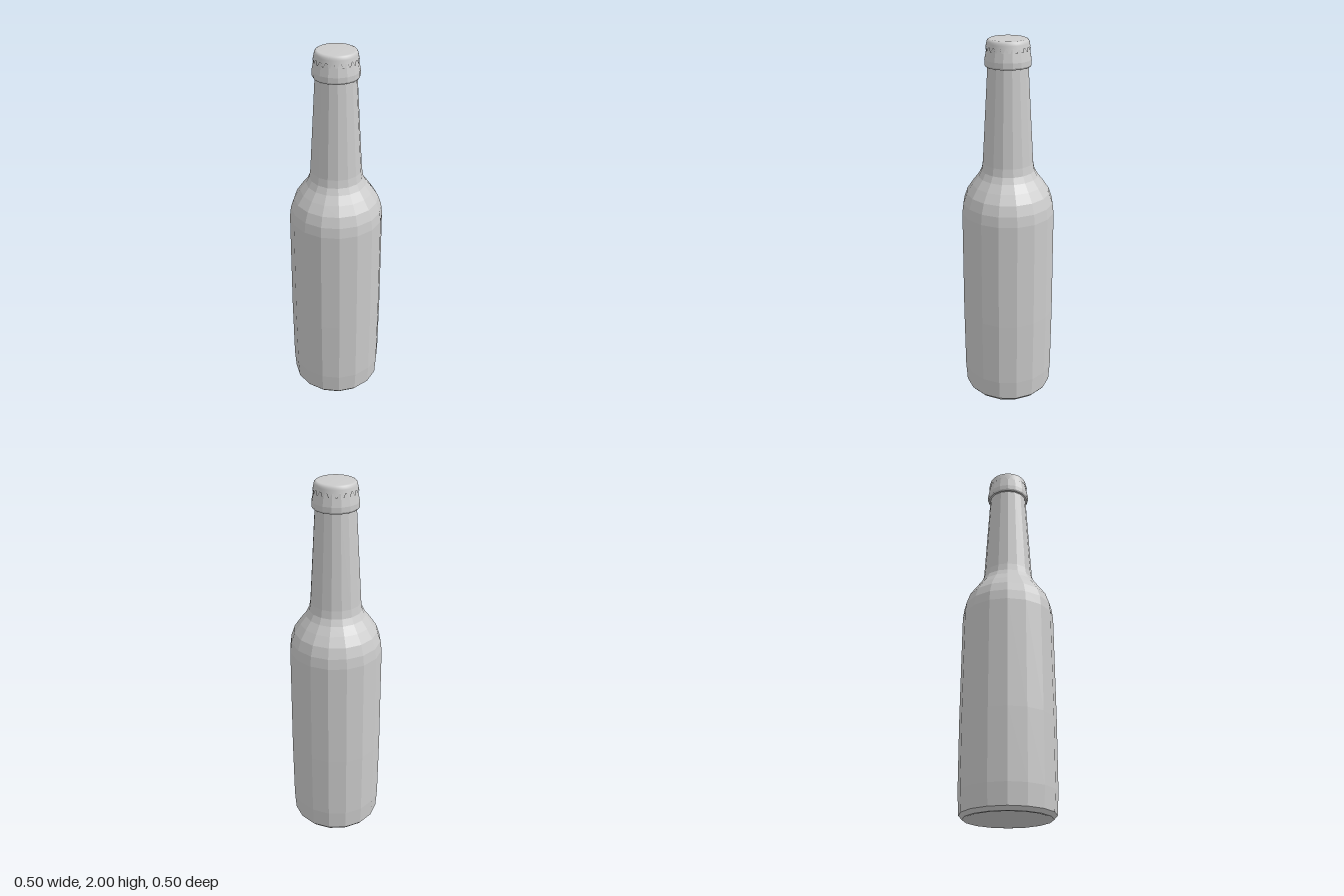
import * as THREE from 'three';

const SIDES = 16;
const TEETH = 21;
const TURN = 0.13; // angle of the first corner of the glass

const toPoints = (pairs) => pairs.map(([r, y]) => new THREE.Vector2(r, y));

function lathePart(name, pairs, segments, flatShading) {
  const geometry = new THREE.LatheGeometry(toPoints(pairs), segments, TURN);
  const material = new THREE.MeshStandardMaterial({ color: 0xcccccc, flatShading });
  const mesh = new THREE.Mesh(geometry, material);
  mesh.name = name;
  return mesh;
}

// Cap: a smooth disc with a skirt whose lower edge is cut into square teeth
function crownCap() {
  const profile = [
    [0.112, 1.945], [0.1095, 1.967], [0.107, 1.98], [0.105, 1.989],
    [0.1, 1.996], [0.092, 2], [0, 2],
  ];
  const steps = TEETH * 4;
  const cap = lathePart('cap', profile, steps, false);
  const pos = cap.geometry.attributes.position;
  for (let i = 0; i <= steps; i++) {
    const k = i * profile.length; // lowest vertex of this column
    const isTooth = i % 4 < 2;
    const s = isTooth ? 1.02 : 0.985;
    pos.setXYZ(k, pos.getX(k) * s, isTooth ? 1.945 : 1.964, pos.getZ(k) * s);
  }
  cap.geometry.computeVertexNormals();
  cap.material.side = THREE.DoubleSide;
  return cap;
}

export function createModel() {
  const group = new THREE.Group();
  group.name = 'bottle';

  // Body, shoulder and neck, with a slightly hollow base
  group.add(lathePart('glassBody', [
    [0, 0.025], [0.13, 0.02], [0.212, 0], [0.226, 0], [0.243, 0.02],
    [0.25, 0.13], [0.252, 0.5], [0.248, 1.09], [0.241, 1.145],
    [0.222, 1.2], [0.19, 1.248], [0.158, 1.29], [0.141, 1.323],
    [0.134, 1.365], [0.104, 1.87],
  ], SIDES, true));

  // Lip ring around the mouth
  group.add(lathePart('lip', [
    [0.1, 1.865], [0.114, 1.866], [0.119, 1.875], [0.119, 1.9],
    [0.113, 1.93], [0.109, 1.95], [0.105, 1.972], [0, 1.985],
  ], SIDES, true));

  group.add(crownCap());
  return group;
}
